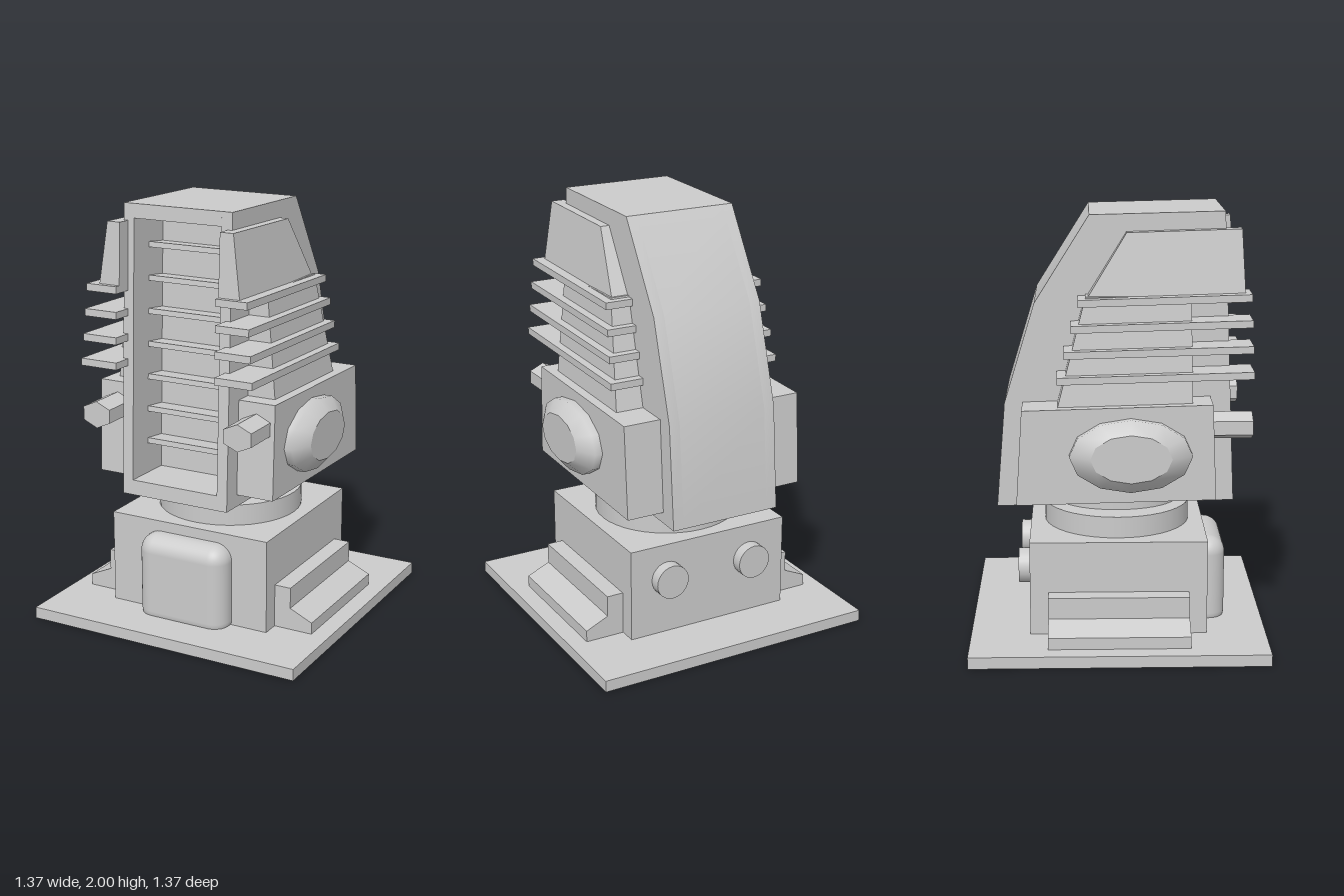
import * as THREE from 'three';
import { mergeGeometries, toCreasedNormals } from 'three/addons/utils/BufferGeometryUtils.js';
import { RoundedBoxGeometry } from 'three/addons/geometries/RoundedBoxGeometry.js';

const grey = new THREE.MeshStandardMaterial({ color: 0xcccccc });
const flat = new THREE.MeshStandardMaterial({ color: 0xcccccc, flatShading: true });
const open = new THREE.MeshStandardMaterial({ color: 0xcccccc, side: THREE.DoubleSide });

export function createModel() {
  const model = new THREE.Group();
  model.name = 'model';

  function add(name, geometry, material = grey) {
    const mesh = new THREE.Mesh(geometry, material);
    mesh.name = name;
    model.add(mesh);
    return mesh;
  }

  const box = (x, y, z) => new THREE.BoxGeometry(x, y, z);

  // Side outline given as [z, y] points, extruded from x0 to x1
  function slab(points, x0, x1) {
    const shape = new THREE.Shape(points.map(([z, y]) => new THREE.Vector2(z, y)));
    const geometry = new THREE.ExtrudeGeometry(shape, { depth: x1 - x0, bevelEnabled: false });
    geometry.rotateY(-Math.PI / 2).translate(x1, 0, 0);
    return toCreasedNormals(geometry, Math.PI / 6);
  }

  // Block on one flank: four [z, y] corners and an outer x at bottom and top
  function flankBlock(s, { fb, bb, bt, ft, xb, xt }) {
    const geometry = box(1, 1, 1);
    const p = geometry.attributes.position;
    for (let i = 0; i < p.count; i++) {
      const top = p.getY(i) > 0;
      const front = p.getZ(i) > 0;
      const outer = p.getX(i) * s > 0;
      const [z, y] = top ? (front ? ft : bt) : (front ? fb : bb);
      p.setXYZ(i, s * (outer ? (top ? xt : xb) : 0.25), y, z);
    }
    geometry.computeVertexNormals();
    return geometry;
  }

  // Base plate, hollow underneath
  const plate = box(1.37, 0.055, 1.37).translate(0, 0.0275, 0);
  const index = Array.from(plate.index.array);
  index.splice(18, 6);
  plate.setIndex(index);
  plate.clearGroups();
  add('basePlate', plate, open);

  // Pedestal with a soft front pad and two rear knobs
  add('pedestal', box(0.82, 0.445, 0.82).translate(0, 0.2775, 0));
  const pad = new RoundedBoxGeometry(0.46, 0.45, 0.22, 5, 0.08).translate(0, 0.225, 0.4);
  const pp = pad.attributes.position;
  for (let i = 0; i < pp.count; i++) pp.setY(i, Math.max(pp.getY(i), 0.056));
  add('frontPad', pad);
  for (const x of [-0.22, 0.22]) {
    const knob = new THREE.CylinderGeometry(0.082, 0.082, 0.1, 24);
    add('rearKnob', knob.rotateX(Math.PI / 2).translate(x, 0.33, -0.415));
  }

  // Stepped foot rails on both sides of the pedestal
  const rail = new THREE.Shape([
    [0.4, 0.055], [0.6, 0.055], [0.6, 0.11], [0.49, 0.16], [0.49, 0.26], [0.4, 0.26],
  ].map(([x, y]) => new THREE.Vector2(x, y)));
  for (const turn of [0, Math.PI]) {
    const geometry = new THREE.ExtrudeGeometry(rail, { depth: 0.65, bevelEnabled: false });
    add('footRail', geometry.translate(0, 0, -0.325).rotateY(turn));
  }

  // Turntable and oval neck
  add('turntable', new THREE.CylinderGeometry(0.344, 0.344, 0.1, 40).translate(0, 0.55, 0));
  add('neck', new THREE.CylinderGeometry(1, 1, 0.08, 40).scale(0.226, 1, 0.29).translate(0, 0.63, 0));

  // Housing: two cheeks and a core cut away at the front
  const spine = [
    [0.535, 0.66], [-0.56, 0.638], [-0.52, 1.127], [-0.38, 1.587], [-0.13, 1.985], [0.48, 2],
  ];
  const recess = [[0.483, 1.935], [0.235, 1.93], [0.28, 0.725], [0.532, 0.73]];
  add('housingCheek', slab(spine, 0.22, 0.272));
  add('housingCheek', slab(spine, -0.272, -0.22));
  add('housingCore', slab([...spine, ...recess], -0.22, 0.22));

  // Slats inside the recess
  for (let i = 0; i < 7; i++) {
    const y = 1.79 - 0.1525 * i;
    const slat = add('slat', box(0.44, 0.025, 0.14));
    slat.position.set(0, y, 0.29 + (1.79 - y) * 0.041);
    slat.rotation.x = -0.12;
  }

  for (const s of [1, -1]) {
    // Lower side pod
    add('sidePod', flankBlock(s, {
      fb: [0.44, 0.714], bb: [-0.465, 0.693], bt: [-0.437, 1.132], ft: [0.422, 1.155], xb: 0.453, xt: 0.453,
    }));

    // Oval cap on the pod
    const rim = [[1, 0], [1, 0.037], [0.66, 0.087]].map(([r, h]) => new THREE.Vector2(r, h));
    const cap = mergeGeometries([
      new THREE.LatheGeometry(rim, 12),
      new THREE.CircleGeometry(0.66, 12).rotateX(-Math.PI / 2).translate(0, 0.087, 0),
    ]);
    cap.scale(0.168, 1, 0.278).rotateZ(-s * Math.PI / 2).translate(s * 0.453, 0.928, 0.053);
    add('podCap', cap);

    // Hexagonal bolt facing forward
    const bolt = new THREE.CylinderGeometry(0.074, 0.074, 0.21, 6);
    bolt.scale(1.08, 1, 0.85).rotateX(Math.PI / 2).translate(s * 0.362, 1.042, 0.5);
    add('hexBolt', bolt, flat);

    // Cooling stack: core, top block and four fins
    add('stackCore', flankBlock(s, {
      fb: [0.335, 1.12], bb: [-0.285, 1.1], bt: [-0.148, 1.63], ft: [0.325, 1.63], xb: 0.41, xt: 0.362,
    }));
    add('stackTop', flankBlock(s, {
      fb: [0.568, 1.63], bb: [-0.148, 1.61], bt: [0.037, 1.91], ft: [0.552, 1.925], xb: 0.355, xt: 0.315,
    }));
    for (let i = 0; i < 4; i++) {
      const y = 1.645 - 0.115 * i;
      const f = 0.594 + 0.004 * i;
      const b = -0.183 - 0.032 * i;
      const x = 0.404 + 0.01 * i;
      add('coolingFin', flankBlock(s, {
        fb: [f + 0.001, y - 0.033], bb: [b, y - 0.056], bt: [b, y - 0.023], ft: [f, y], xb: x, xt: x,
      }));
    }
  }

  return model;
}
